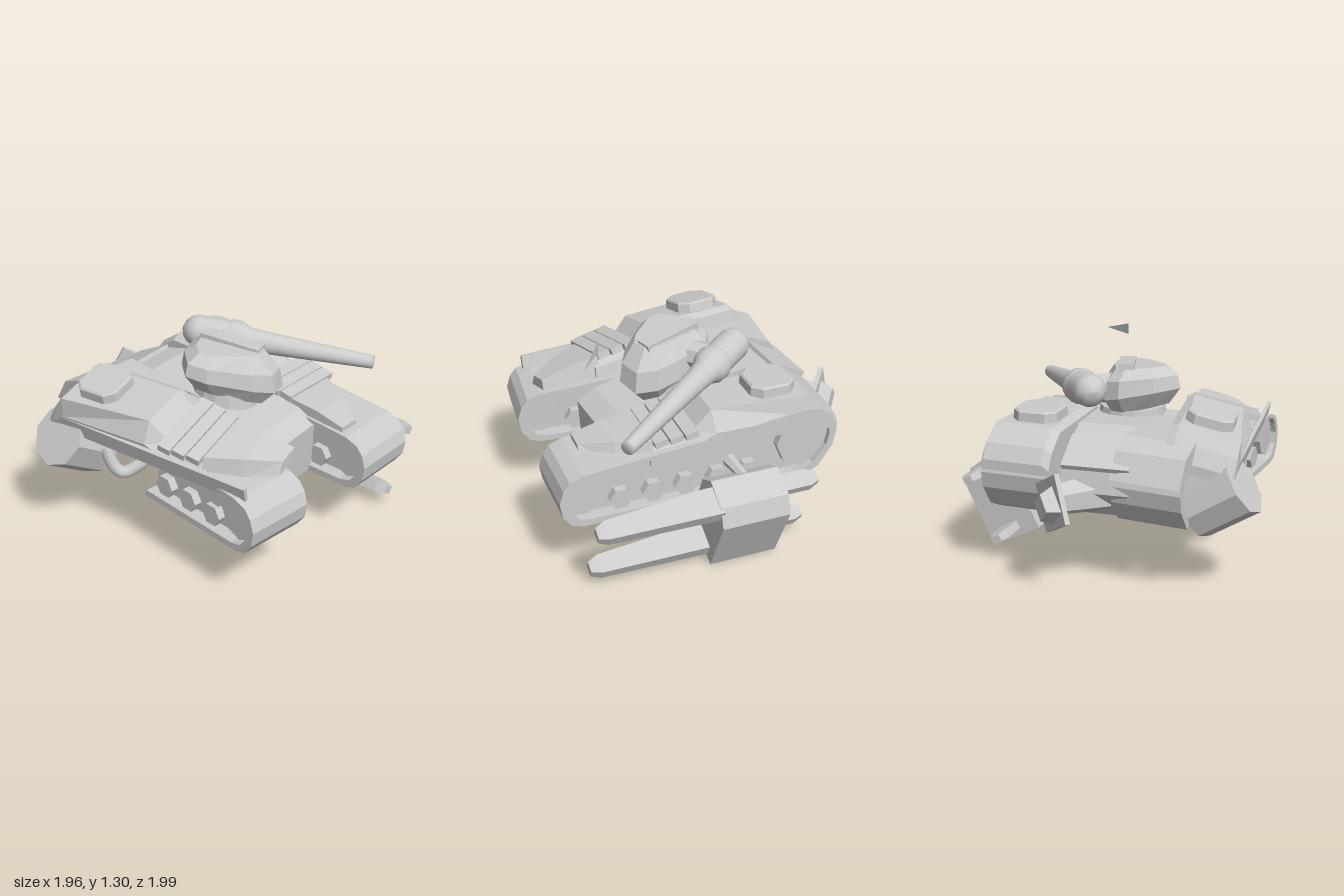
import * as THREE from 'three';

const flat = new THREE.MeshStandardMaterial({ color: 0xcccccc, flatShading: true, side: THREE.DoubleSide });
const smooth = new THREE.MeshStandardMaterial({ color: 0xcccccc, side: THREE.DoubleSide });
const V = (x, y, z) => new THREE.Vector3(x, y, z);

function add(parent, name, geo, pos = [0, 0, 0], rot = [0, 0, 0], mat = flat) {
  const m = new THREE.Mesh(geo, mat);
  m.name = name;
  m.position.set(...pos);
  m.rotation.set(...rot);
  parent.add(m);
  return m;
}

// Extrude a (z, y) outline across x, centred on x = 0
function sideExtrude(pts, width, hole) {
  const shape = new THREE.Shape(pts.map(p => new THREE.Vector2(...p)));
  if (hole) shape.holes.push(new THREE.Path(hole.map(p => new THREE.Vector2(...p))));
  return new THREE.ExtrudeGeometry(shape, { depth: width, bevelEnabled: false })
    .translate(0, 0, -width / 2).rotateY(-Math.PI / 2);
}

// Skin a list of equal-sized rings and cap both ends
function loft(rings) {
  const n = rings[0].length, idx = [];
  for (let r = 0; r < rings.length - 1; r++)
    for (let i = 0; i < n; i++) {
      const a = r * n + i, b = r * n + (i + 1) % n;
      idx.push(a, b, b + n, a, b + n, a + n);
    }
  const last = (rings.length - 1) * n;
  for (let i = 1; i < n - 1; i++) idx.push(0, i + 1, i, last, last + i, last + i + 1);
  const g = new THREE.BufferGeometry().setFromPoints(rings.flat());
  g.setIndex(idx);
  g.computeVertexNormals();
  return g;
}

// Cylinder whose axis runs from a to b
function rod(parent, name, a, b, ra, rb, sides) {
  const d = b.clone().sub(a);
  const m = add(parent, name, new THREE.CylinderGeometry(rb, ra, d.length(), sides));
  m.position.copy(a).add(b).multiplyScalar(0.5);
  m.quaternion.setFromUnitVectors(V(0, 1, 0), d.normalize());
}

const trackOutline = [[0.86, 0.37], [0.93, 0.39], [0.98, 0.46], [0.995, 0.55], [0.97, 0.63], [0.93, 0.68],
  [0.85, 0.71], [0.15, 0.77], [-0.52, 0.84], [-0.62, 0.83], [-0.7, 0.76], [-0.73, 0.66], [-0.71, 0.56],
  [-0.62, 0.43], [-0.5, 0.37]];
const trackHole = trackOutline.map(([z, y]) => [0.13 + (z - 0.13) * 0.95, 0.6 + (y - 0.6) * 0.83]);

// A broken track has lost the rear of its lower run and its rear wheel
function makeTrack(name, broken) {
  const g = new THREE.Group();
  g.name = name;
  if (broken) {
    add(g, 'trackBelt', sideExtrude([[0.08, 0.37], ...trackOutline.slice(0, 14),
      ...trackHole.slice(0, 14).reverse(), [0.1, 0.41]], 0.43));
    add(g, 'trackCore', sideExtrude([[0.1, 0.41], ...trackHole.slice(0, 8)], 0.26));
    add(g, 'rearCowl', sideExtrude([[0.02, 0.76], [-0.05, 0.89], [-0.52, 0.905], [-0.65, 0.85], [-0.74, 0.7], [-0.5, 0.76]], 0.43));
  } else {
    add(g, 'trackBelt', sideExtrude(trackOutline, 0.43, trackHole));
    add(g, 'trackCore', sideExtrude(trackHole, 0.26));
  }
  add(g, 'trackPanel', sideExtrude([[0.85, 0.68], [-0.52, 0.81], [-0.38, 0.72], [0.7, 0.58]], 0.4));
  const wheel = (z, y, r, n) => add(g, 'wheel', new THREE.CylinderGeometry(r, r, 0.36, n).rotateZ(Math.PI / 2), [0, y, z]);
  wheel(0.85, 0.55, 0.125, 8);
  if (!broken) wheel(-0.53, 0.61, 0.175, 8);
  for (let i = 0; i < (broken ? 3 : 5); i++) wheel(0.62 - i * 0.2, 0.475, 0.07, 6);
  return g;
}

// Square with cut corners, for the hatches
const hatchRing = (h, y) => [[-1, 0.6], [-0.6, 1], [0.6, 1], [1, 0.6], [1, -0.6], [0.6, -1], [-0.6, -1], [-1, -0.6]]
  .map(([x, z]) => V(x * h, y, z * h));

// Fender with hatch, slats and front wedge; s = 1 for left, -1 for right
function makeFender(name, s, rear) {
  const g = new THREE.Group();
  g.name = name;
  const sections = [[rear, 0.74, 0.68, 0.2], [rear + 0.05, 0.83, 0.68, 0.2], [-0.55, 0.92, 0.7, 0.19], [0.05, 0.92, 0.72, 0.13],
    [0.17, 0.8, 0.7, 0.13], [0.45, 0.77, 0.68, 0.13]];
  add(g, 'fenderShell', loft(sections.map(([z, t, b, w]) => [[-0.215, b], [0.215, b], [0.215, b + (t - b) * 0.45],
    [w, t], [-0.17, t], [-0.215, t - 0.03]].map(([x, y]) => V(s * x, y, z)))));
  add(g, 'hatch', loft([hatchRing(0.142, 0.9), hatchRing(0.138, 0.975), hatchRing(0.128, 0.985)]), [-0.015 * s, 0, -0.365]);
  for (let i = 0; i < 3; i++)
    add(g, 'slat', new THREE.BoxGeometry(0.46 - i * 0.02, 0.04, 0.08), [0, 0.835 - i * 0.012, 0.2 + i * 0.09], [0.2, 0, 0]);
  add(g, 'frontWedge', loft([[0.42, -0.2, 0.16, 0.81], [0.62, -0.195, 0.06, 0.79], [0.8, -0.19, -0.06, 0.745]]
    .map(([z, a, b, t]) => [V(s * a, 0.68, z), V(s * (b + 0.05), 0.68, z), V(s * b, t, z), V(s * a, t, z)])));
  return g;
}

function makeTurret() {
  const g = new THREE.Group();
  g.name = 'turret';
  const outline = [[-0.32, 0.06], [-0.2, -0.08], [0, -0.17], [0.1, -0.13], [0.2, 0.1], [0.23, 0.25],
    [0.2, 0.38], [0.06, 0.43], [-0.06, 0.37], [-0.27, 0.18]].reverse();
  // Each level: height, scale, sideways slope, forward slope
  const levels = [[0.88, 0.74, 0.28, 0.13], [0.98, 1, 0.22, 0.13], [1.085, 0.94, 0.14, 0.13], [1.165, 0.66, 0.05, 0.06]];
  add(g, 'turretBody', loft(levels.map(([y, k, side, front]) => outline.map(([x, z]) => {
    const px = -0.03 + (x + 0.03) * k, pz = 0.12 + (z - 0.12) * k;
    return V(px, y - side * (px + 0.03) - front * (pz - 0.12), pz);
  }))));
  add(g, 'roofPlate', new THREE.BoxGeometry(0.1, 0.05, 0.38), [0.04, 1.16, 0.11], [0.12, 0.3, -0.05]);
  add(g, 'turretRing', new THREE.CylinderGeometry(0.2, 0.22, 0.14, 16), [0, 0.85, 0.1]);
  // Gun with domed breech and closed muzzle
  const profile = [[0, -0.09], [0.05, -0.075], [0.085, -0.04], [0.1, 0], [0.1, 0.18], [0.102, 0.2], [0.112, 0.22],
    [0.108, 0.28], [0.08, 0.33], [0.072, 0.42], [0.043, 1.1], [0.04, 1.12], [0, 1.12]].map(p => new THREE.Vector2(...p));
  const gun = add(g, 'gun', new THREE.LatheGeometry(profile, 20), [0.14, 1.08, -0.27], [0, 0, 0], smooth);
  gun.quaternion.setFromUnitVectors(V(0, 1, 0), V(0.64, -0.16, 0.9).normalize());
  rod(g, 'gunMount', V(0.05, 1.03, 0.02), V(0.22, 1.05, -0.12), 0.1, 0.08, 8);
  return g;
}

// Broken-off side launcher lying beside the left track
function makePod() {
  const g = new THREE.Group();
  g.name = 'sidePod';
  const section = [[0.49, 0.16], [0.8, 0], [0.985, 0.38], [0.95, 0.5], [0.79, 0.59], [0.67, 0.53]];
  add(g, 'podBody', loft([-0.28, 0.14].map(z => section.map(([x, y]) => V(x, y, z)))));
  const c = Math.cos(-0.47), n = Math.sin(-0.47);
  // Rows: z, half width, half height, x shift, y shift
  const bar = (name, cx, cy, rows) => add(g, name, loft(rows.map(([z, w, h, dx, dy]) =>
    [[-w, -h], [w, -h], [w, h], [-w, h]].map(([x, y]) => V(cx + dx + x * c - y * n, cy + dy + x * n + y * c, z)))));
  for (const [x, y] of [[0.695, 0.125], [0.875, 0.49]]) {
    bar('blade', x, y, [[0.12, 0.088, 0.04, 0, 0], [0.2, 0.088, 0.04, 0, 0], [0.8, 0.06, 0.034, 0.015, -0.015],
      [0.86, 0.035, 0.025, 0.015, -0.02]]);
    bar('rearProng', x - 0.015, y + 0.015, [[-0.5, 0.03, 0.02, 0, 0], [-0.44, 0.055, 0.028, 0, 0], [-0.27, 0.055, 0.028, 0, 0]]);
  }
  rod(g, 'podLink', V(0.6, 0.43, -0.05), V(0.74, 0.42, -0.05), 0.04, 0.03, 6);
  rod(g, 'podLink', V(0.6, 0.58, -0.05), V(0.76, 0.55, -0.08), 0.04, 0.03, 6);
  return g;
}

export function createModel() {
  const model = new THREE.Group();
  model.name = 'wreckedTank';

  // Central hull, slightly yawed
  const hull = new THREE.Group();
  hull.name = 'hull';
  hull.position.x = -0.01;
  hull.rotation.y = 0.08;
  model.add(hull);
  add(hull, 'hullBody', sideExtrude([[0.6, 0.38], [0.62, 0.7], [0.5, 0.77], [0.3, 0.81], [0.1, 0.87], [-0.35, 0.91],
    [-0.55, 0.86], [-0.73, 0.77], [-0.76, 0.62], [-0.62, 0.45], [-0.45, 0.38]], 0.41));
  add(hull, 'rearDeckPanel', new THREE.BoxGeometry(0.4, 0.03, 0.26), [0, 0.82, -0.63], [-0.47, 0, 0]);
  add(hull, 'hullBridge', new THREE.BoxGeometry(0.7, 0.2, 0.45), [-0.08, 0.77, -0.05]);
  add(hull, 'axleBeam', new THREE.BoxGeometry(0.6, 0.12, 0.25), [0, 0.52, 0.2]);

  // Tracks and fenders, the right side knocked askew
  const leftTrack = makeTrack('leftTrack', false);
  leftTrack.position.x = 0.435;
  const rightTrack = makeTrack('rightTrack', true);
  rightTrack.position.set(-0.435, 0.01, -0.03);
  rightTrack.rotation.y = -0.088;
  const leftFender = makeFender('leftFender', 1, -0.73);
  leftFender.position.x = 0.435;
  const rightFender = makeFender('rightFender', -1, -0.67);
  add(rightFender, 'skirt', new THREE.BoxGeometry(0.025, 0.1, 1.33), [-0.23, 0.74, 0.09], [0, -0.04, 0]);
  const tilt = new THREE.Group();
  tilt.name = 'rightFenderTilt';
  rightFender.position.y = -0.85;
  tilt.add(rightFender);
  tilt.position.set(-0.565, 0.905, 0.065);
  tilt.rotation.set(0, 0.14, 0.22, 'YXZ');
  model.add(leftTrack, rightTrack, leftFender, tilt, makeTurret(), makePod());

  // Octagonal drum and bent pipe hanging off the right rear
  rod(model, 'rearDrum', V(-0.87, 0.68, -0.47), V(-0.575, 0.49, -0.47), 0.185, 0.18, 8);
  const pipe = new THREE.CatmullRomCurve3([V(-0.3, 0.65, 0), V(-0.53, 0.44, -0.16), V(-0.6, 0.41, -0.21),
    V(-0.63, 0.45, -0.25), V(-0.65, 0.58, -0.3)]);
  add(model, 'bentPipe', new THREE.TubeGeometry(pipe, 20, 0.04, 10), [0, 0, 0], [0, 0, 0], smooth);

  // Broken rear coupling with a square flange
  const coupling = new THREE.Group();
  coupling.name = 'rearCoupling';
  coupling.position.set(0.145, 0.57, -0.855);
  coupling.rotation.y = Math.PI - 0.73;
  model.add(coupling);
  add(coupling, 'flange', new THREE.BoxGeometry(0.29, 0.29, 0.03), [0, 0, 0], [0, 0, Math.PI / 4 - 0.3]);
  add(coupling, 'couplingArm', new THREE.CylinderGeometry(0.09, 0.12, 0.32, 6).rotateX(Math.PI / 2), [0, 0.02, -0.16]);
  add(coupling, 'couplingStub', new THREE.CylinderGeometry(0.08, 0.12, 0.08, 4).rotateX(Math.PI / 2), [0.03, 0, 0.05]);

  // Loose shard in the air
  const shard = new THREE.BufferGeometry().setFromPoints([V(0.21, 1.23, 0.6), V(0.41, 1.23, 0.75), V(0.21, 1.3, 0.6)]);
  shard.setIndex([0, 2, 1]);
  shard.computeVertexNormals();
  add(model, 'shard', shard, [0, 0, 0], [0, 0, 0], new THREE.MeshStandardMaterial({ color: 0xcccccc }));

  return model;
}
